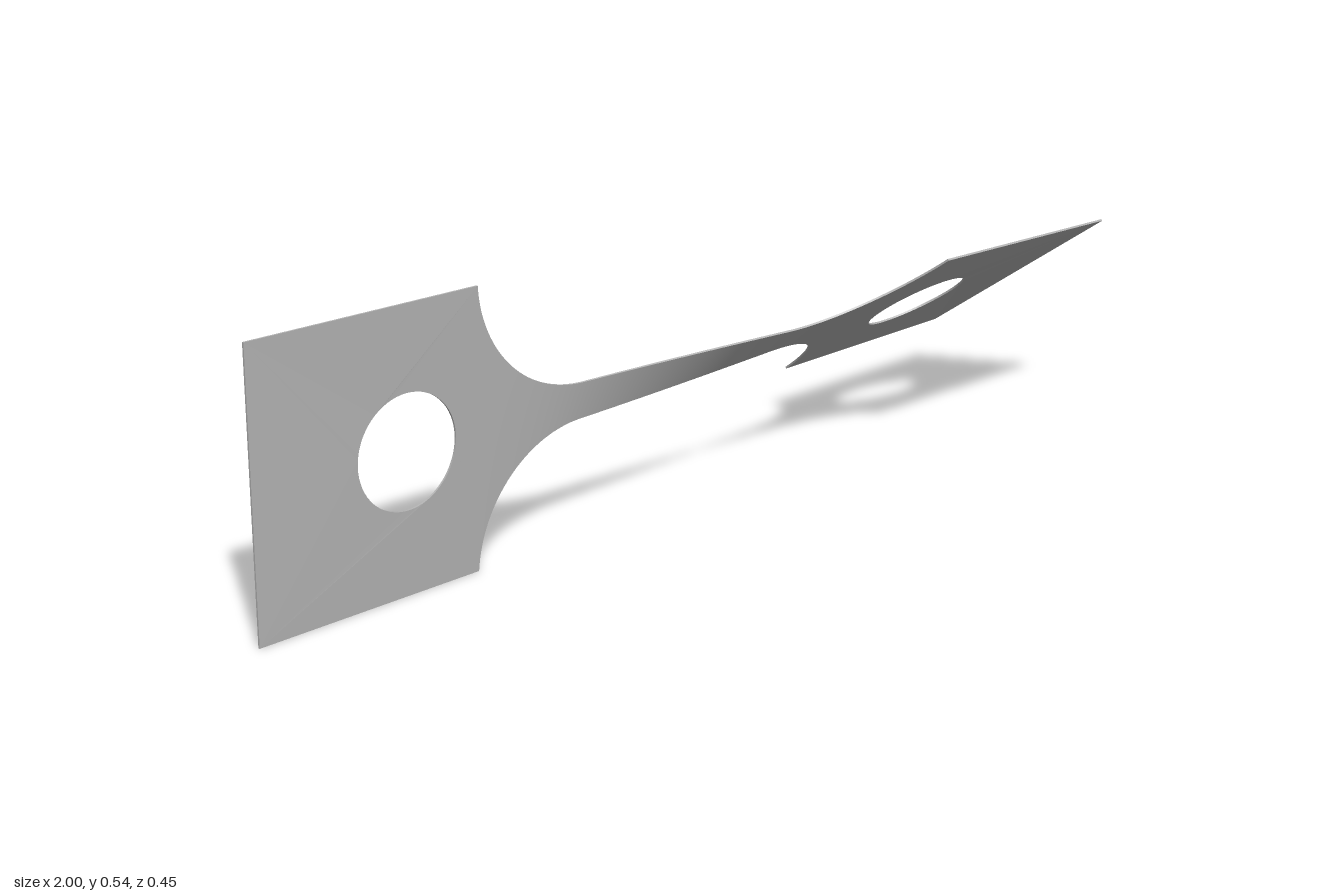
import * as THREE from 'three';

const HALF_W = 0.27;        // half width of the end plates
const NECK_W = 0.0375;      // half width of the neck
const THICK = 0.004;
const FILLET_X = 0.265;     // where the neck begins to flare
const R = 0.2475;           // flare radius
const FLARE_ANGLE = Math.acos((NECK_W + R - HALF_W) / R);
const PLATE_X = FILLET_X + R * Math.sin(FLARE_ANGLE);
const TOTAL_TWIST = THREE.MathUtils.degToRad(55.2);

function halfWidth(x) {
  const s = Math.abs(x) - FILLET_X;
  if (s <= 0) return NECK_W;
  if (Math.abs(x) >= PLATE_X) return HALF_W;
  return NECK_W + R - Math.sqrt(R * R - s * s);
}

// Twist accumulates fastest where the strip is narrow
const STEPS = 800;
const table = [0];
for (let i = 0; i < STEPS; i++) {
  const x = -1 + (2 * (i + 0.5)) / STEPS;
  table.push(table[i] + Math.pow(halfWidth(x), -1.5));
}
function twist(x) {
  const f = THREE.MathUtils.clamp(((x + 1) / 2) * STEPS, 0, STEPS);
  const i = Math.min(Math.floor(f), STEPS - 1);
  const sum = table[i] + (table[i + 1] - table[i]) * (f - i);
  return (sum / table[STEPS]) * TOTAL_TWIST;
}

// Rotate every vertex about the long axis by the local twist
function applyTwist(geometry) {
  const p = geometry.attributes.position;
  for (let i = 0; i < p.count; i++) {
    const x = p.getX(i), y = p.getY(i), z = p.getZ(i);
    const c = Math.cos(twist(x)), s = Math.sin(twist(x));
    p.setXYZ(i, x, HALF_W + y * c - z * s, y * s + z * c);
  }
  geometry.computeVertexNormals();
  return geometry;
}

// Square end plate with a round hole
function plateGeometry(side) {
  const a = Math.min(side, side * PLATE_X), b = Math.max(side, side * PLATE_X);
  const shape = new THREE.Shape();
  shape.moveTo(a, -HALF_W);
  shape.lineTo(b, -HALF_W);
  shape.lineTo(b, HALF_W);
  shape.lineTo(a, HALF_W);
  shape.closePath();
  const hole = new THREE.Path();
  hole.absarc(side * 0.672, 0, 0.1085, 0, Math.PI * 2, true);
  shape.holes.push(hole);
  const g = new THREE.ExtrudeGeometry(shape, { depth: THICK, bevelEnabled: false, curveSegments: 32 });
  g.translate(0, 0, -THICK / 2);
  return applyTwist(g);
}

// Narrow neck with a curved flare at each end
function neckGeometry() {
  const g = new THREE.BoxGeometry(2, 2, THICK, 128, 8, 1);
  const p = g.attributes.position;
  for (let i = 0; i < p.count; i++) {
    const u = p.getX(i), k = Math.abs(u);
    let x = k * 2 * FILLET_X, w = NECK_W;
    if (k > 0.5) {
      const angle = (k - 0.5) * 2 * FLARE_ANGLE;
      x = FILLET_X + R * Math.sin(angle);
      w = NECK_W + R * (1 - Math.cos(angle));
    }
    p.setXYZ(i, Math.sign(u) * x, p.getY(i) * w, p.getZ(i));
  }
  return applyTwist(g);
}

export function createModel() {
  const group = new THREE.Group();
  group.name = 'twistedStrip';
  const steel = new THREE.MeshStandardMaterial({ color: 0xb4b4b4 });
  steel.name = 'plain grey metal';
  const add = (name, geometry) => {
    const mesh = new THREE.Mesh(geometry, steel);
    mesh.name = name;
    group.add(mesh);
  };
  add('rightEndPlate', plateGeometry(-1));
  add('leftEndPlate', plateGeometry(1));
  add('twistedNeck', neckGeometry());
  return group;
}
